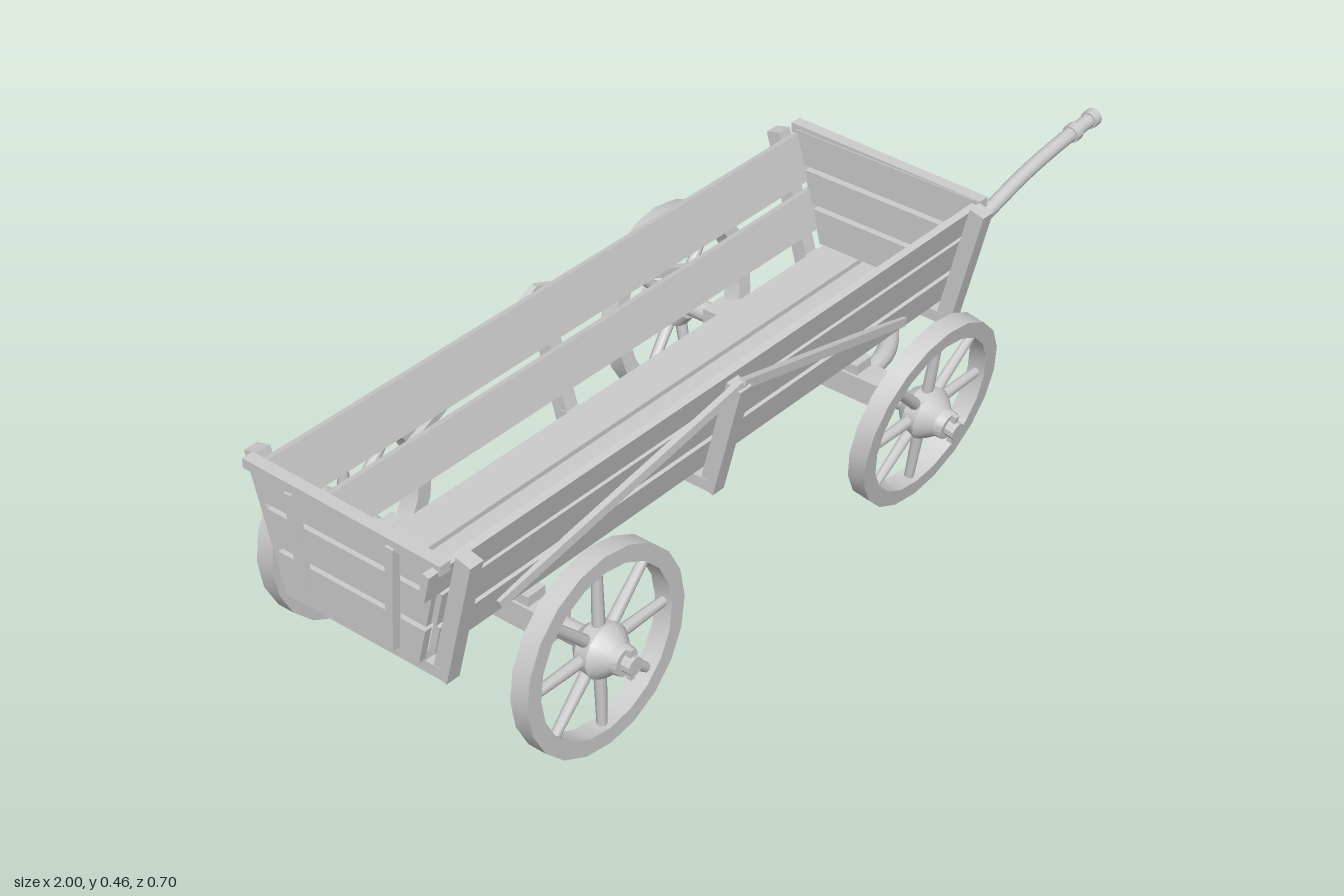
import * as THREE from 'three';
import { toCreasedNormals } from 'three/addons/utils/BufferGeometryUtils.js';

const material = new THREE.MeshStandardMaterial({ color: 0xcccccc });
const V = (x, y, z) => new THREE.Vector3(x, y, z);

const SLOPE = 0.265;                               // outward lean of the sides
const postZ = (y) => 0.157 + (y - 0.21) * SLOPE;   // centre of a post at a height
const plankZ = (y) => postZ(y) - 0.024;

function add(parent, name, geometry) {
  const mesh = new THREE.Mesh(geometry, material);
  mesh.name = name;
  parent.add(mesh);
  return mesh;
}

function box(parent, name, w, h, d, x, y, z) {
  const mesh = add(parent, name, new THREE.BoxGeometry(w, h, d));
  mesh.position.set(x, y, z);
  return mesh;
}

// Square bar running between two points
function beam(parent, name, a, b, w, h) {
  const mesh = add(parent, name, new THREE.BoxGeometry(w, h, a.distanceTo(b)));
  mesh.position.copy(a).lerp(b, 0.5);
  mesh.lookAt(b);
  return mesh;
}

// Turned part around the z axis; profile points are [radius, z]
function turned(parent, name, profile, sides) {
  const points = profile.map(([r, z]) => new THREE.Vector2(r, z));
  const geometry = new THREE.LatheGeometry(points, sides).rotateX(Math.PI / 2);
  return add(parent, name, toCreasedNormals(geometry, 0.5));
}

// Spoked wheel facing +z
function makeWheel(name) {
  const wheel = new THREE.Group();
  wheel.name = name;
  turned(wheel, 'rim', [[0.15, -0.0175], [0.18, -0.0175], [0.18, 0.0175], [0.15, 0.0175], [0.15, -0.0175]], 20);
  turned(wheel, 'hub', [[0, -0.03], [0.028, -0.03], [0.045, -0.012], [0.048, 0.014], [0.04, 0.026],
    [0.027, 0.04], [0.025, 0.056], [0, 0.056]], 16);
  turned(wheel, 'axleTip', [[0, 0.05], [0.016, 0.05], [0.016, 0.074], [0, 0.074]], 10);
  box(wheel, 'linchPin', 0.009, 0.056, 0.009, 0, 0, 0.063);
  for (let i = 0; i < 8; i++) {
    const a = (i * Math.PI) / 4;
    const spoke = add(wheel, 'spoke', new THREE.CylinderGeometry(0.0085, 0.011, 0.125, 8));
    spoke.position.set(-Math.sin(a) * 0.095, Math.cos(a) * 0.095, 0);
    spoke.rotation.z = a;
  }
  return wheel;
}

// Axle, axle block, bolster and a pair of wheels with a lean
function makeAxle(name, x, lean) {
  const group = new THREE.Group();
  group.name = name;
  group.position.x = x;
  const axle = add(group, 'axle', new THREE.CylinderGeometry(0.019, 0.019, 0.52, 12));
  axle.rotation.x = Math.PI / 2;
  axle.position.y = 0.185;
  box(group, 'axleBlock', 0.05, 0.047, 0.384, 0, 0.186, 0);
  box(group, 'bolster', 0.04, 0.02, 0.29, 0, 0.218, 0);
  for (const side of [1, -1]) {
    const mount = new THREE.Group();
    mount.name = side > 0 ? 'frontSideWheel' : 'backSideWheel';
    if (side < 0) mount.rotation.y = Math.PI;
    const wheel = makeWheel('wheel');
    wheel.position.set(0, 0.183, 0.272);
    wheel.rotation.x = lean;
    mount.add(wheel);
    group.add(mount);
  }
  return group;
}

// Leaning side wall: each plank is [bottom, top, startX, endX]
function makeSide(side, planks) {
  const group = new THREE.Group();
  group.name = side > 0 ? 'frontSideWall' : 'backSideWall';
  const lean = side * Math.atan(SLOPE);
  const stretch = Math.hypot(1, SLOPE);
  for (const [y0, y1, x0, x1] of planks) {
    const y = (y0 + y1) / 2;
    box(group, 'sidePlank', x1 - x0, (y1 - y0) * stretch, 0.013, (x0 + x1) / 2, y, side * plankZ(y)).rotation.x = lean;
  }
  for (const [x, top] of [[-0.935, 0.452], [-0.317, 0.43], [0.32, 0.452]]) {
    const y = (0.205 + top) / 2;
    box(group, 'post', 0.028, (top - 0.205) * stretch, 0.03, x, y, side * postZ(y)).rotation.x = lean;
  }
  // Diagonal braces from the middle post
  for (const x of [-0.82, 0.19])
    beam(group, 'brace', V(-0.317, 0.432, side * (postZ(0.432) + 0.004)), V(x, 0.27, side * (plankZ(0.27) + 0.01)), 0.012, 0.016);
  return group;
}

// Tapered end wall with two outer battens; dir points outward along x
function makeEnd(name, x, dir) {
  const group = new THREE.Group();
  group.name = name;
  const half = (y) => plankZ(y) - 0.004;
  for (const [y0, y1] of [[0.24, 0.307], [0.317, 0.38], [0.39, 0.455]]) {
    const shape = new THREE.Shape([[-half(y0), y0], [half(y0), y0], [half(y1), y1], [-half(y1), y1]]
      .map(([z, y]) => new THREE.Vector2(z, y)));
    const geometry = new THREE.ExtrudeGeometry(shape, { depth: 0.014, bevelEnabled: false });
    add(group, 'endBoard', geometry.translate(0, 0, -0.007).rotateY(Math.PI / 2)).position.x = x;
  }
  for (const side of [1, -1])
    beam(group, 'batten', V(x + dir * 0.014, 0.25, side * 0.09), V(x + dir * 0.014, 0.445, side * 0.106), 0.016, 0.016);
  box(group, 'topRail', 0.022, 0.018, 0.41, x + dir * 0.006, 0.451, 0).rotation.x = 0.02;
  return group;
}

// Forked drawbar with its long curved handle
function makeDrawbar() {
  const group = new THREE.Group();
  group.name = 'drawbar';
  const tube = (name, points, radius) => add(group, name,
    new THREE.TubeGeometry(new THREE.CatmullRomCurve3(points), 32, radius, 10));
  tube('fork', [V(0.1, 0.18, 0.125), V(0.19, 0.18, 0.118), V(0.27, 0.178, 0.07), V(0.315, 0.177, 0),
    V(0.27, 0.178, -0.07), V(0.19, 0.18, -0.118), V(0.1, 0.18, -0.125)], 0.017);
  tube('handle', [V(0.13, 0.178, 0), V(0.33, 0.176, 0), V(0.45, 0.179, 0), V(0.6, 0.196, 0),
    V(0.78, 0.238, 0), V(0.9, 0.254, 0), V(0.99, 0.26, 0)], 0.014);
  const collar = (name, r, length, x, y, tilt) => {
    const mesh = add(group, name, new THREE.CylinderGeometry(r, r, length, 10));
    mesh.position.set(x, y, 0);
    mesh.rotation.z = -Math.PI / 2 + tilt;
  };
  collar('collar', 0.021, 0.032, 0.362, 0.176, 0);
  collar('gripRing', 0.018, 0.02, 0.93, 0.256, 0.08);
  collar('gripEnd', 0.018, 0.02, 0.99, 0.26, 0.08);
  box(group, 'kingPin', 0.03, 0.07, 0.034, 0.1, 0.19, 0);
  return group;
}

export function createModel() {
  const wagon = new THREE.Group();
  wagon.name = 'handWagon';

  // Floor planks and cross beams
  for (const z of [-0.089, 0, 0.089])
    box(wagon, 'floorPlank', 1.31, 0.014, 0.08, -0.31, 0.234, z);
  for (const x of [-0.935, -0.317, 0.32])
    box(wagon, 'crossBeam', 0.03, 0.022, 0.32, x, 0.216, 0);

  // Sides and ends
  wagon.add(makeSide(1, [[0.25, 0.308, -0.95, 0.38], [0.32, 0.385, -0.96, 0.34], [0.395, 0.447, -1, 0.36]]));
  wagon.add(makeSide(-1, [[0.268, 0.342, -0.96, 0.37], [0.358, 0.446, -0.97, 0.35]]));
  wagon.add(makeEnd('rearEnd', -0.963, -1));
  wagon.add(makeEnd('frontEnd', 0.342, 1));

  // Running gear
  wagon.add(makeAxle('rearAxle', -0.722, 0));
  wagon.add(makeAxle('steeringAxle', 0.1, 0.172));
  wagon.add(makeDrawbar());
  return wagon;
}
